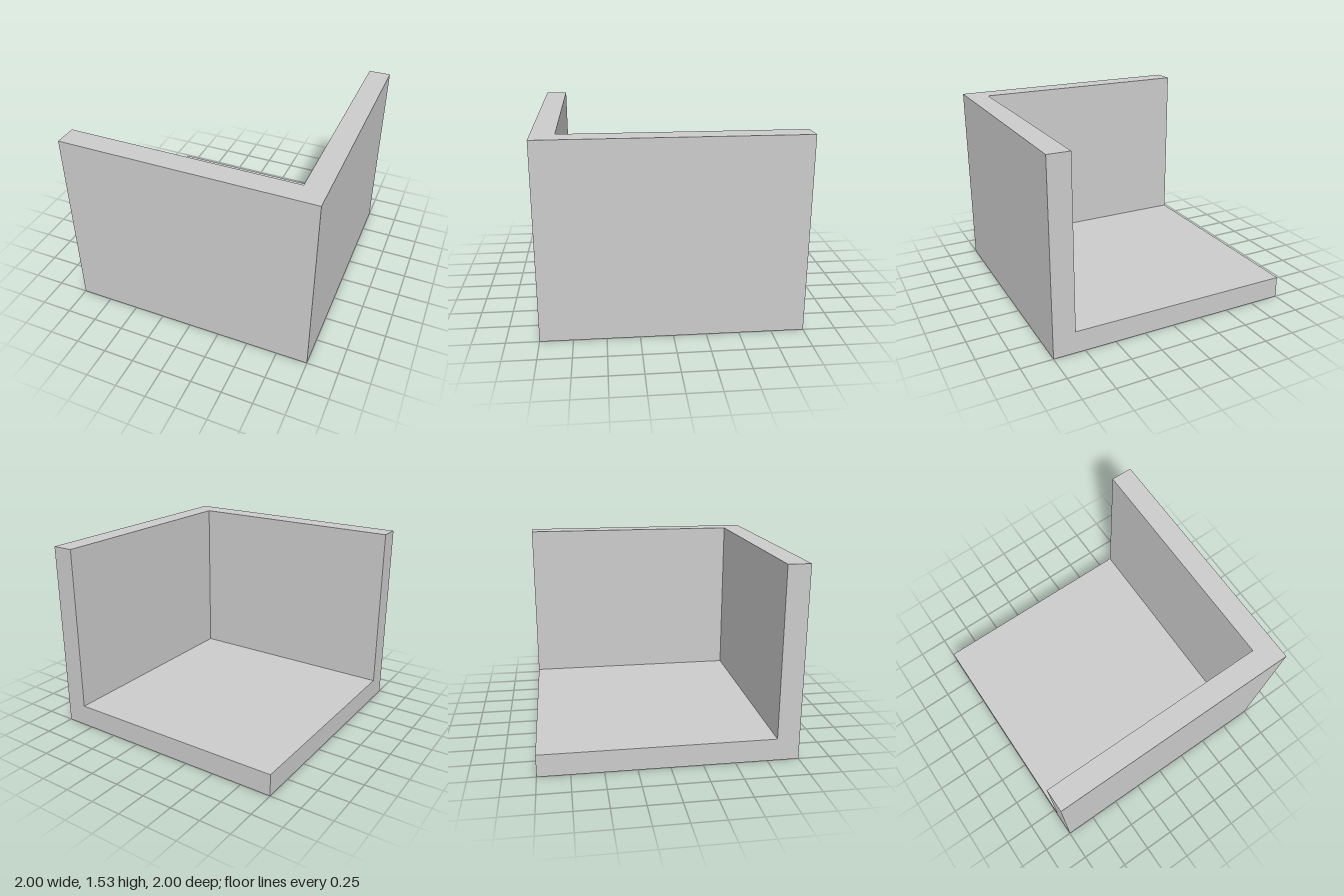
import * as THREE from 'three';

const SIZE = 2;
const HEIGHT = 1.529;
const THICK = 0.1765;

export function createModel() {
  const group = new THREE.Group();
  group.name = 'cornerTile';
  const material = new THREE.MeshStandardMaterial({ color: 0xcccccc, flatShading: true });
  const h = SIZE / 2;
  const inner = h - THICK;

  // L-shaped walls along the front and left sides, drawn in plan (shape y = -z)
  const plan = new THREE.Shape([
    [-h, -h], [h, -h], [h, h], [inner, h], [inner, -inner], [-h, -inner],
  ].map(([x, y]) => new THREE.Vector2(x, y)));
  const wallGeometry = new THREE.ExtrudeGeometry(plan, { depth: HEIGHT, bevelEnabled: false });
  wallGeometry.rotateX(-Math.PI / 2);
  const walls = new THREE.Mesh(wallGeometry, material);
  walls.name = 'cornerWalls';
  group.add(walls);

  // Floor slab filling the space inside the walls
  const span = SIZE - THICK;
  const floor = new THREE.Mesh(new THREE.BoxGeometry(span, THICK, span), material);
  floor.name = 'floor';
  floor.position.set(-THICK / 2, THICK / 2, -THICK / 2);
  group.add(floor);

  return group;
}
